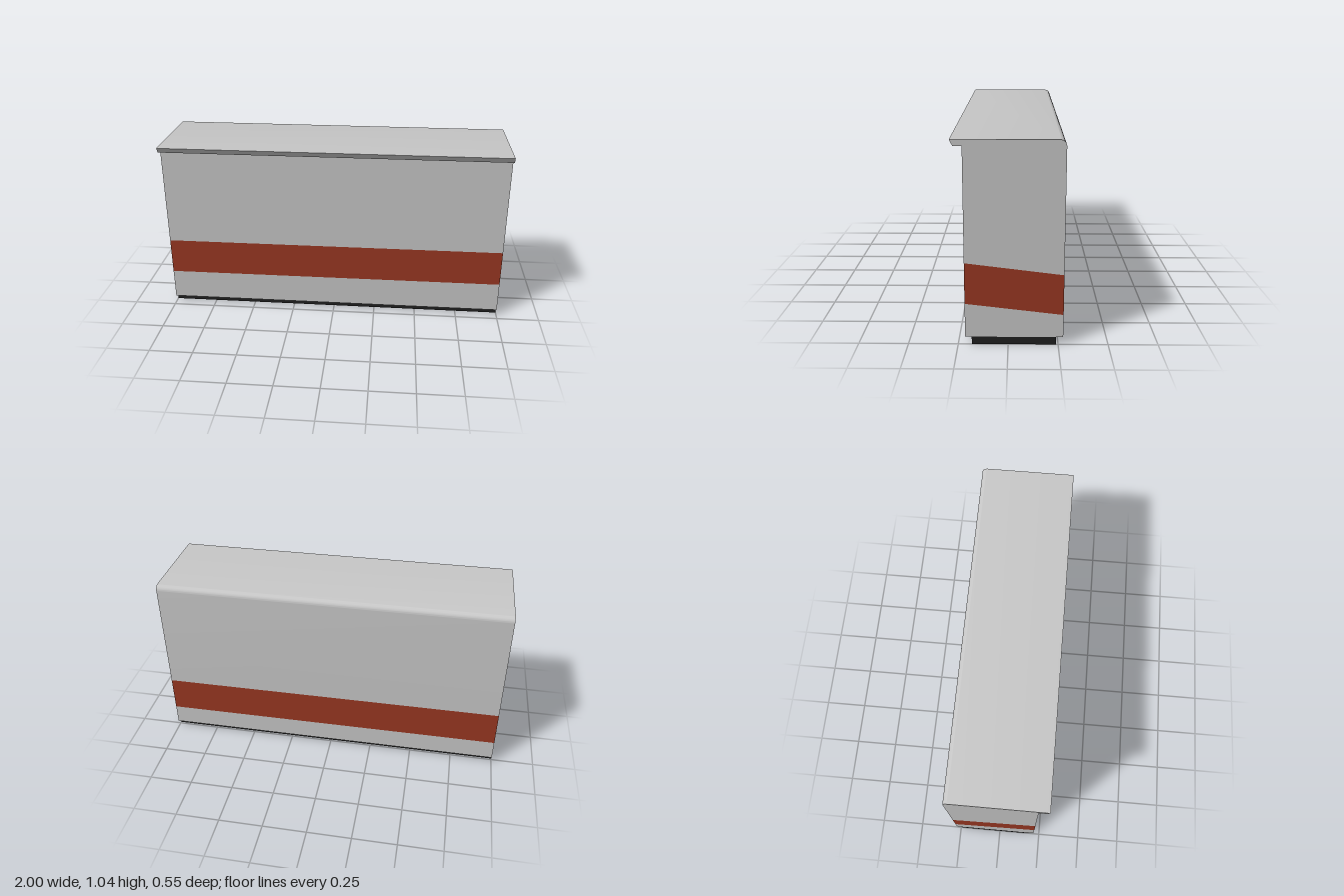
import * as THREE from 'three';
import { toCreasedNormals } from 'three/addons/utils/BufferGeometryUtils.js';

const WIDTH = 2, FRONT = 0.215, BACK = -0.275, TOP = 1.04, BOTTOM = 0.04;

// Extrude a side profile, drawn as (z, y), across the full width
function addProfile(group, name, shape, material) {
  const extruded = new THREE.ExtrudeGeometry(shape, { depth: WIDTH, bevelEnabled: false, curveSegments: 8 });
  extruded.rotateY(-Math.PI / 2).translate(WIDTH / 2, 0, 0);
  const mesh = new THREE.Mesh(toCreasedNormals(extruded, Math.PI / 6), material);
  mesh.name = name;
  group.add(mesh);
}

const polygon = (points) => new THREE.Shape(points.map(([z, y]) => new THREE.Vector2(z, y)));

export function createModel() {
  const group = new THREE.Group();
  group.name = 'counter';

  const grey = new THREE.MeshStandardMaterial({ color: 0xc8c8c8 });
  grey.name = 'light grey panel';
  const red = new THREE.MeshStandardMaterial({ color: 0x9a3822 });
  red.name = 'rust red stripe';
  const black = new THREE.MeshStandardMaterial({ color: 0x202020 });
  black.name = 'black plinth';

  // Upper body: overhanging front lip, rounded back edge, sloping lower edge
  const r = 0.032;
  const upper = polygon([[BACK, 0.37], [FRONT, 0.43], [FRONT, 1.01], [0.259, 1.01], [0.274, TOP], [BACK + r, TOP]]);
  upper.absarc(BACK + r, TOP - r, r, Math.PI / 2, Math.PI, false);
  addProfile(group, 'upperBody', upper, grey);

  // Stripe wrapping all four sides, lower at the back
  addProfile(group, 'stripe', polygon([[BACK, 0.16], [FRONT, 0.217], [FRONT, 0.43], [BACK, 0.37]]), red);

  // Lower body
  addProfile(group, 'lowerBody', polygon([[BACK, BOTTOM], [FRONT, BOTTOM], [FRONT, 0.217], [BACK, 0.16]]), grey);

  // Recessed plinth
  addProfile(group, 'plinth', polygon([[-0.24, 0], [0.182, 0], [0.182, BOTTOM], [-0.24, BOTTOM]]), black);

  return group;
}
